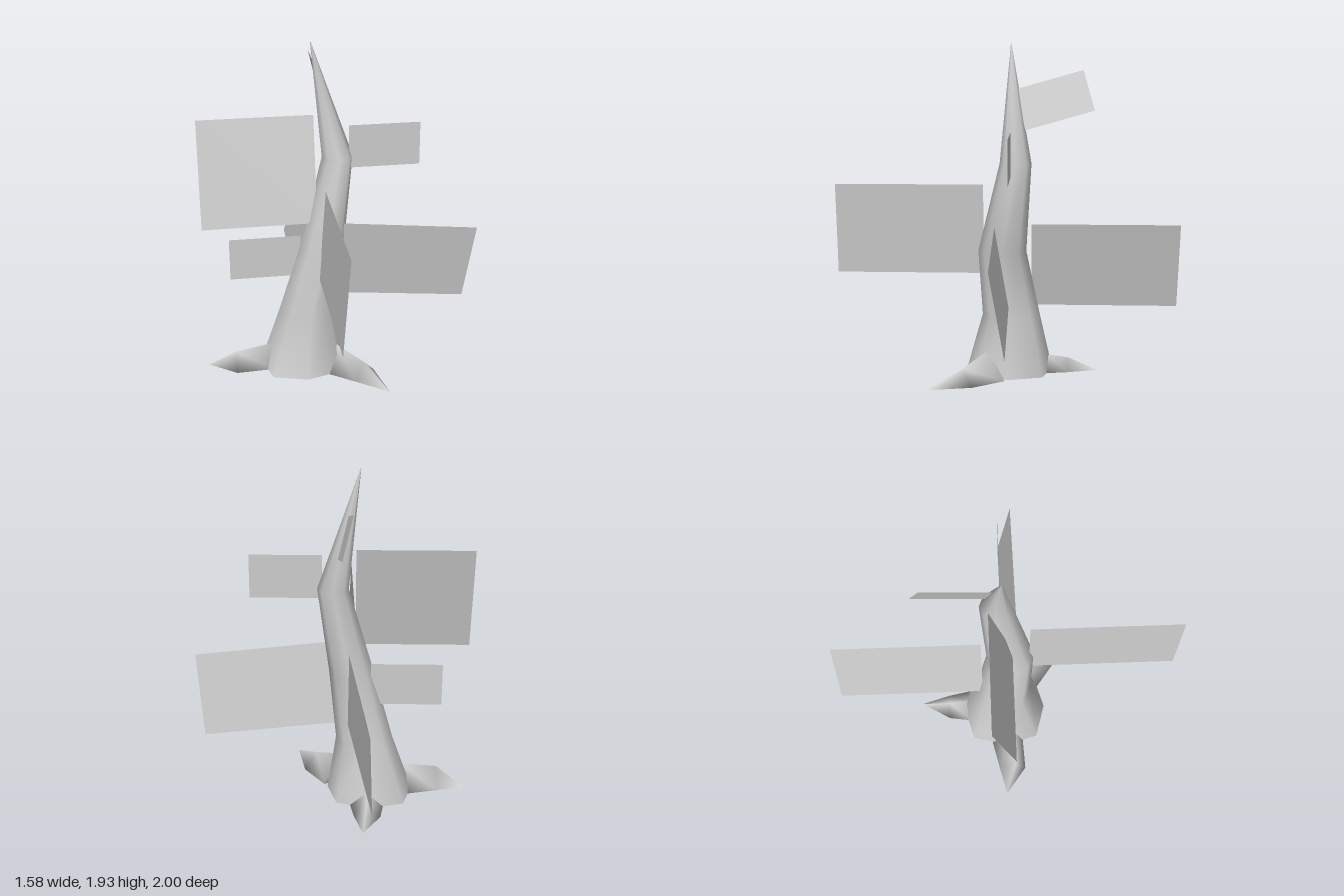
import * as THREE from 'three';

const material = new THREE.MeshStandardMaterial({ color: 0xcccccc, side: THREE.DoubleSide });

// Smooth open skin through a list of closed sections with equal point counts
function loft(sections) {
  const n = sections[0].length;
  const index = [];
  for (let r = 0; r < sections.length - 1; r++) {
    for (let i = 0; i < n; i++) {
      const a = r * n + i, b = r * n + (i + 1) % n;
      index.push(a, a + n, b, b, a + n, b + n);
    }
  }
  const geometry = new THREE.BufferGeometry();
  geometry.setAttribute('position', new THREE.Float32BufferAttribute(sections.flat(2), 3));
  geometry.setIndex(index);
  geometry.computeVertexNormals();
  return geometry;
}

// Flat card from its top inner, top outer and bottom inner corners
function card(topIn, topOut, bottomIn) {
  const geometry = new THREE.PlaneGeometry(1, 1);
  const bottomOut = topOut.map((v, i) => v + bottomIn[i] - topIn[i]);
  [topIn, topOut, bottomIn, bottomOut].forEach((p, i) => geometry.attributes.position.setXYZ(i, ...p));
  geometry.computeVertexNormals();
  return geometry;
}

// Eight-sided trunk ring; diagonal stretches the corners between the axes
function ring([y, x0, x1, z0, z1, diagonal = 1]) {
  return Array.from({ length: 8 }, (_, i) => {
    const a = i * Math.PI / 4, k = i % 2 ? diagonal : 1;
    return [
      (x0 + x1) / 2 + Math.cos(a) * k * (x1 - x0) / 2,
      y,
      (z0 + z1) / 2 + Math.sin(a) * k * (z1 - z0) / 2,
    ];
  });
}

export function createModel() {
  const tree = new THREE.Group();
  tree.name = 'tree';
  const add = (name, geometry) => {
    const mesh = new THREE.Mesh(geometry, material);
    mesh.name = name;
    tree.add(mesh);
  };

  // Leaning trunk, open below and pointed at the top: y, x range, z range
  add('trunk', loft([
    [0, -0.48, 0.02, -0.265, 0.245, 1.1],
    [0.34, -0.36, -0.03, -0.19, 0.15],
    [0.74, -0.245, 0.012, -0.11, 0.17],
    [1.265, -0.1, 0.076, -0.14, 0.04],
    [1.93, -0.162, -0.158, -0.022, -0.018],
  ].map(ring)));

  // Ridged roots: right foot, ridge, left foot of each section, then the tip
  const roots = {
    frontRoot: [
      [[-0.16, 0, 0.16], [-0.06, 0.155, 0.11], [0.04, 0, 0.01]],
      [[0.04, 0, 0.31], [0.1, 0.09, 0.25], [0.165, 0, 0.19]],
      [0.215, 0, 0.445],
    ],
    rightRoot: [
      [[-0.42, 0, -0.1], [-0.42, 0.135, 0.03], [-0.42, 0, 0.1]],
      [[-0.63, 0, -0.05], [-0.63, 0.11, 0.05], [-0.63, 0, 0.11]],
      [-0.79, 0, -0.01],
    ],
    backRoot: [
      [[-0.11, 0, -0.2], [-0.21, 0.09, -0.22], [-0.31, 0, -0.22]],
      [[-0.14, 0, -0.36], [-0.21, 0.07, -0.36], [-0.29, 0, -0.36]],
      [-0.19, 0, -0.535],
    ],
  };
  for (const [name, [start, middle, tip]] of Object.entries(roots)) {
    add(name, loft([start, middle, [tip, tip, tip]]));
  }

  // Large branch cards
  add('rightBranchCard', card([-0.14, 1.5, -0.09], [-0.79, 1.5, -0.09], [-0.14, 0.9, 0.04]));
  add('leftBranchCard', card([0.01, 0.9, 0.07], [0.79, 0.815, 0.06], [-0.04, 0.425, -0.01]));
  add('frontBranchCard', card([-0.105, 1.13, 0.14], [-0.105, 1.13, 1], [-0.145, 0.6, 0.14]));
  add('backBranchCard', card([-0.105, 0.9, -0.14], [-0.105, 0.9, -1], [-0.23, 0.39, -0.14]));

  // Small twig cards
  add('leftTwigCard', card([0.05, 1.45, -0.025], [0.455, 1.45, -0.025], [0.05, 1.2, -0.025]));
  add('rightTwigCard', card([-0.23, 0.8, -0.02], [-0.64, 0.8, -0.02], [-0.23, 0.55, -0.02]));
  add('backTwigCard', card([-0.095, 1.675, -0.04], [-0.125, 1.785, -0.43], [-0.04, 1.45, -0.105]));

  return tree;
}
